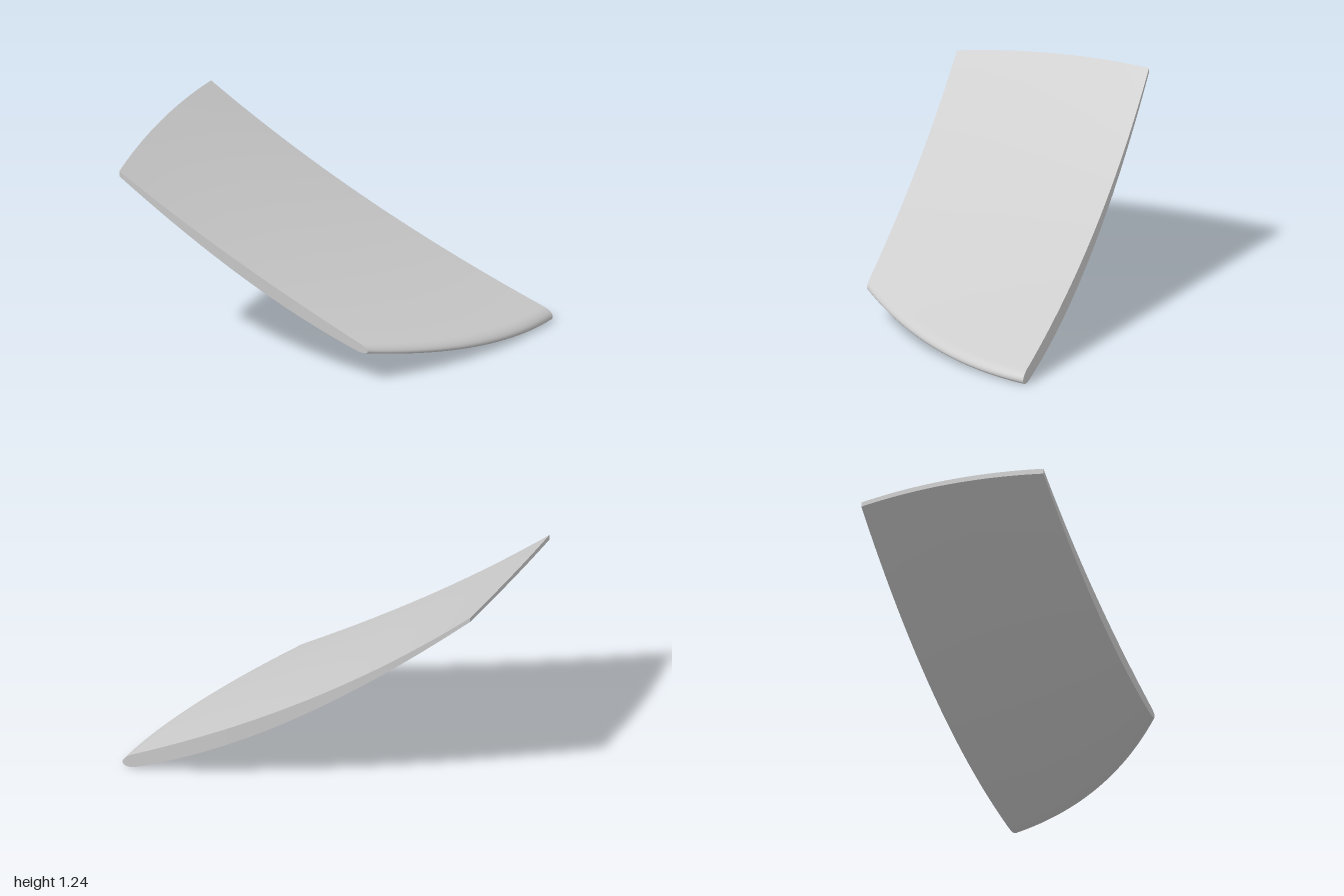
import * as THREE from 'three';

const NU = 48, NV = 28;
const lerp = THREE.MathUtils.lerp;

// Upper and lower surface point at chord position u (0 nose, 1 trailing edge)
// and span position v (0 back end, 1 front end)
function bladePoint(u, v, side) {
  const nose = [1 - 0.44 * v * v, 0.019 + 0.171 * v * v, -0.85 + 1.36 * v];
  const tail = [-1 + 0.11 * v * v, 1.229 - 0.109 * v * v, -0.4 + 1.245 * v];
  const sag = lerp(0.12, 0.062, v);
  const sweep = lerp(0.033, 0.013, v);
  const bow = 4 * u * (1 - u), bowSlope = 4 * (1 - 2 * u);

  // camber line and its upward normal in the xy plane
  const x = lerp(nose[0], tail[0], u);
  const y = lerp(nose[1], tail[1], u) - sag * bow;
  const z = lerp(nose[2], tail[2], u) - sweep * bow;
  const dx = tail[0] - nose[0];
  const dy = tail[1] - nose[1] - sag * bowSlope;
  const dz = tail[2] - nose[2] - sweep * bowSlope;
  const len = Math.hypot(dx, dy);
  const nx = dy / len, ny = -dx / len;

  // half thickness: rounded nose, thin blunt tail
  const round = Math.sqrt(1 - (1 - Math.min(u / 0.035, 1)) ** 2);
  const body = lerp(0.038, 0.022, v) + lerp(0.088, 0.08, v) * u
    - lerp(0.23, 0.142, v) * u * u + lerp(0.114, 0.052, v) * u ** 3;
  const h = side * round * body;

  // the trailing edge and both end faces stand upright
  const shift = h * nx * (1 - u ** 4);
  return [x + shift, y + (h - shift * nx) / ny, z + shift * dz / dx];
}

// Smooth sheet through rows of points
function sheet(rows) {
  const n = rows[0].length, index = [];
  for (let j = 0; j < rows.length - 1; j++) {
    for (let i = 0; i < n - 1; i++) {
      const a = j * n + i, b = a + 1, c = a + n, d = c + 1;
      index.push(a, c, b, b, c, d);
    }
  }
  const g = new THREE.BufferGeometry();
  g.setAttribute('position', new THREE.Float32BufferAttribute(rows.flat(2), 3));
  g.setIndex(index);
  g.computeVertexNormals();
  return g;
}

export function createModel() {
  const group = new THREE.Group();
  group.name = 'blade';
  const metal = new THREE.MeshStandardMaterial({ color: 0xcccccc });
  metal.name = 'light grey metal';
  const add = (name, rows) => {
    const mesh = new THREE.Mesh(sheet(rows), metal);
    mesh.name = name;
    group.add(mesh);
  };

  // chord stations packed towards the nose
  const us = Array.from({ length: NU + 1 }, (_, i) => (i / NU) ** 2.2);
  const vs = Array.from({ length: NV + 1 }, (_, j) => j / NV);
  const upper = v => us.map(u => bladePoint(u, v, 1));
  const lower = v => us.map(u => bladePoint(u, v, -1));

  // skin: upper tail, round the nose, to lower tail
  add('bladeSkin', vs.map(v => [...upper(v).reverse(), ...lower(v).slice(1)]));
  // blunt trailing edge
  add('trailingEdge', vs.map(v => [bladePoint(1, v, -1), bladePoint(1, v, 1)]));
  // upright end faces
  add('frontEnd', [lower(1), upper(1)]);
  add('backEnd', [upper(0), lower(0)]);
  return group;
}
